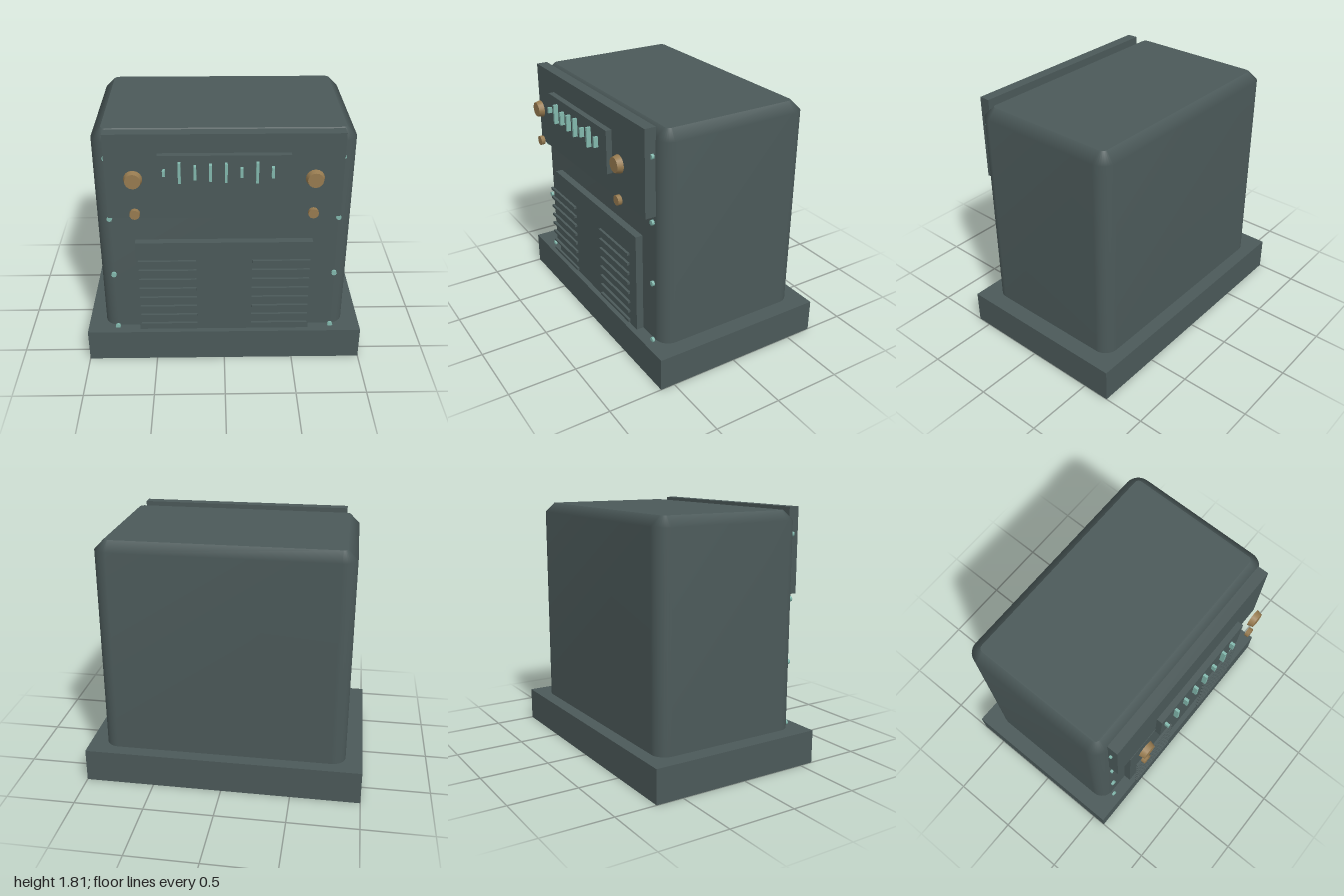
import * as THREE from 'three';

const casing = new THREE.MeshStandardMaterial({ color: 0x4b5959 });
casing.name = 'grey green casing';
const brass = new THREE.MeshStandardMaterial({ color: 0x977b50 });
brass.name = 'brass';
const teal = new THREE.MeshStandardMaterial({ color: 0x82b8ad });
teal.name = 'pale teal';

// Box given by its minimum and maximum on each axis
function box(name, material, x0, x1, y0, y1, z0, z1) {
  const mesh = new THREE.Mesh(new THREE.BoxGeometry(x1 - x0, y1 - y0, z1 - z0), material);
  mesh.position.set((x0 + x1) / 2, (y0 + y1) / 2, (z0 + z1) / 2);
  mesh.name = name;
  return mesh;
}

// Faceted disc facing +z
function disc(name, material, x, y, z0, z1, rFront, rBack, sides) {
  const geometry = new THREE.CylinderGeometry(rFront, rBack, z1 - z0, sides).rotateX(Math.PI / 2);
  const mesh = new THREE.Mesh(geometry, material);
  mesh.position.set(x, y, (z0 + z1) / 2);
  mesh.name = name;
  return mesh;
}

// Outline of a rounded rectangle, counter-clockwise, as [x, z] pairs
function roundedOutline(halfX, halfZ, r, steps = 8) {
  const points = [];
  const corners = [[1, 1], [-1, 1], [-1, -1], [1, -1]];
  corners.forEach(([sx, sz], c) => {
    for (let i = 0; i <= steps; i++) {
      const a = (c + i / steps) * Math.PI / 2;
      points.push([sx * (halfX - r) + r * Math.cos(a), sz * (halfZ - r) + r * Math.sin(a)]);
    }
  });
  return points;
}

// Cabinet: smooth rounded walls with a chamfered shoulder and a flat lid
function cabinet() {
  const group = new THREE.Group();
  group.name = 'cabinet';
  const halfX = 0.88, halfZ = 0.5585, r = 0.1, inset = 0.068;
  const rings = [
    { y: 0.2, o: roundedOutline(halfX, halfZ, r) },
    { y: 1.727, o: roundedOutline(halfX, halfZ, r) },
    { y: 1.795, o: roundedOutline(halfX - inset, halfZ - inset, r - inset) },
  ];
  const n = rings[0].o.length;
  const positions = [], index = [];
  for (const { y, o } of rings) for (const [x, z] of o) positions.push(x, y, z);
  for (let k = 0; k < rings.length - 1; k++) {
    for (let i = 0; i < n; i++) {
      const a = k * n + i, b = k * n + (i + 1) % n;
      index.push(a, a + n, b, b, a + n, b + n);
    }
  }
  const walls = new THREE.BufferGeometry();
  walls.setAttribute('position', new THREE.Float32BufferAttribute(positions, 3));
  walls.setIndex(index);
  walls.computeVertexNormals();
  const wallMesh = new THREE.Mesh(walls, casing);
  wallMesh.name = 'cabinetWalls';

  const lidShape = new THREE.Shape(rings[2].o.map(([x, z]) => new THREE.Vector2(x, z)));
  const lid = new THREE.Mesh(new THREE.ShapeGeometry(lidShape).rotateX(-Math.PI / 2), casing);
  lid.position.y = rings[2].y;
  lid.name = 'cabinetLid';

  group.add(wallMesh, lid);
  group.position.z = -0.0455;
  return group;
}

export function createModel() {
  const model = new THREE.Group();
  model.name = 'controlCabinet';

  model.add(
    box('base', casing, -1, 1, 0, 0.243, -0.7, 0.605),
    cabinet(),
    box('controlPanel', casing, -0.785, 0.785, 1.203, 1.813, 0.51, 0.59),
    box('displayPlate', casing, -0.433, 0.43, 1.396, 1.697, 0.623, 0.665),
    box('ventPanel', casing, -0.618, 0.616, 0.243, 0.985, 0.5, 0.566),
  );

  // Level bars on the display
  const heights = [0.04, 0.14, 0.095, 0.115, 0.13, 0.065, 0.14, 0.073];
  heights.forEach((h, i) => {
    const x = -0.392 + i * 0.1005;
    model.add(box('levelBar', teal, x - 0.009, x + 0.009, 1.584 - h / 2, 1.584 + h / 2, 0.665, 0.696));
  });

  // Knobs, buttons and rivets on both sides
  for (const side of [-1, 1]) {
    const x = side * 0.59 - 0.003;
    model.add(disc('knob', brass, x, 1.53, 0.66, 0.7, 0.052, 0.062, 16));
    model.add(disc('button', brass, x, 1.28, 0.66, 0.69, 0.035, 0.035, 10));
    for (let i = 0; i < 4; i++) {
      model.add(disc('rivet', teal, side * 0.783, 0.253 + i * 0.457, 0.53, 0.548, 0.019, 0.019, 8));
    }
  }

  // Two columns of vent slats
  for (const x of [-0.6, 0.193]) {
    for (let i = 0; i < 8; i++) {
      const y = 0.327 + i * 0.0762;
      model.add(box('ventSlat', casing, x, x + 0.404, y - 0.009, y + 0.009, 0.605, 0.623));
    }
  }

  return model;
}
